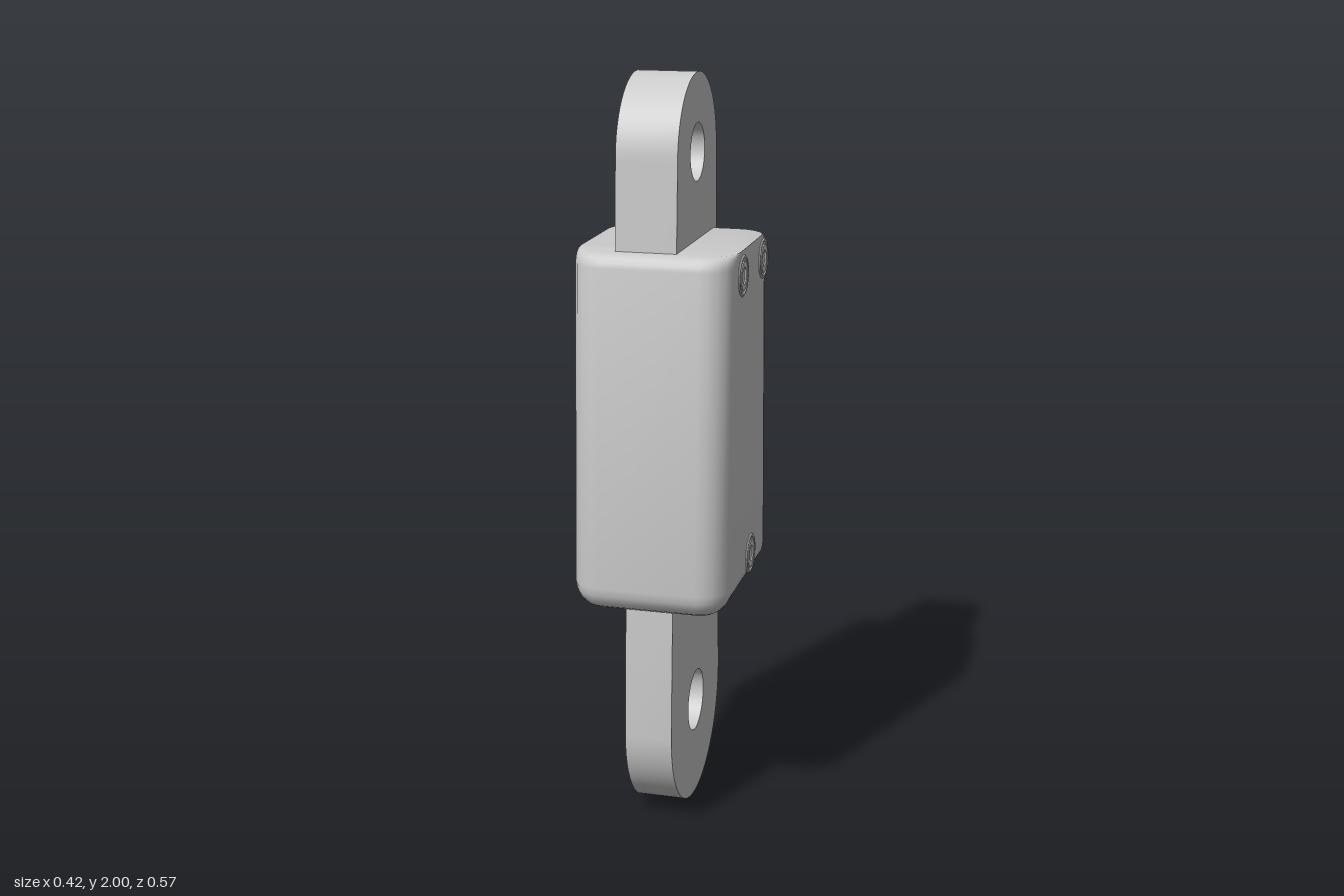
import * as THREE from 'three';
import { toCreasedNormals } from 'three/addons/utils/BufferGeometryUtils.js';

const material = new THREE.MeshStandardMaterial({ color: 0xcccccc });
const MID = -0.015; // z of the shared centre line of lugs and holes

function addMesh(parent, name, geometry, crease = 0.6) {
  const mesh = new THREE.Mesh(toCreasedNormals(geometry, crease), material);
  mesh.name = name;
  parent.add(mesh);
  return mesh;
}

// Extrude a side-view shape (u = -z from the centre line, v = y) from x0 to x1
function sideExtrude(shape, x0, x1, curveSegments = 14) {
  const geo = new THREE.ExtrudeGeometry(shape, { depth: x1 - x0, bevelEnabled: false, curveSegments });
  return geo.rotateY(Math.PI / 2).translate(x0, 0, MID);
}

function circlePath(r, y = 0) {
  const path = new THREE.Path();
  path.absarc(0, y, r, 0, Math.PI * 2, true);
  return path;
}

// Tapered lug with one rounded end (dir +1 up, -1 down) and a pin hole
function lugShape(baseY, baseHalf, eyeY, eyeR, holeY, holeR, dir) {
  const s = new THREE.Shape();
  s.moveTo(-dir * baseHalf, baseY);
  s.lineTo(dir * baseHalf, baseY);
  s.absarc(0, eyeY, eyeR, dir > 0 ? 0 : Math.PI, dir > 0 ? Math.PI : Math.PI * 2, false);
  s.closePath();
  s.holes.push(circlePath(holeR, holeY));
  return s;
}

// Housing: stacked rounded rectangles, tapering upward
function housingGeometry() {
  const levels = [], N = 5, halfW = 0.209;
  for (let k = 0; k <= N; k++) { // rounded bottom edge
    const a = (k / N) * Math.PI / 2, r = 0.07;
    levels.push({ y: 0.625 + r * (1 - Math.cos(a)), ix: r * (1 - Math.sin(a)), iz: r * (1 - Math.sin(a)) });
  }
  for (let k = N - 1; k >= 0; k--) { // top edge, rounded front and back only
    const a = (k / (N - 1)) * Math.PI / 2, r = 0.035;
    levels.push({ y: 1.57 - r * (1 - Math.cos(a)), ix: 0, iz: r * (1 - Math.sin(a)) });
  }
  const pos = [], idx = [], S = 5, n = 4 * (S + 1);
  for (const { y, ix, iz } of levels) {
    const w = halfW - ix;
    const front = 0.292 - 0.043 * (y - 0.64) - iz;
    const back = -0.267 + 0.0416 * (y - 0.64) + iz;
    const r = Math.max(0.08 - ix, 0.02);
    for (let q = 0; q < 4; q++) {
      const cx = (q === 0 || q === 3 ? 1 : -1) * (w - r);
      const cz = q < 2 ? front - r : back + r;
      for (let s = 0; s <= S; s++) {
        const t = (q + s / S) * Math.PI / 2;
        pos.push(cx + r * Math.cos(t), y, cz + r * Math.sin(t));
      }
    }
  }
  const last = levels.length - 1;
  for (let i = 0; i < last; i++) {
    for (let j = 0; j < n; j++) {
      const a = i * n + j, b = i * n + (j + 1) % n;
      idx.push(a, a + n, b, b, a + n, b + n);
    }
  }
  for (let j = 1; j < n - 1; j++) { // caps
    idx.push(0, j, j + 1);
    idx.push(last * n, last * n + j + 1, last * n + j);
  }
  const geo = new THREE.BufferGeometry();
  geo.setAttribute('position', new THREE.Float32BufferAttribute(pos, 3));
  geo.setIndex(idx);
  return geo;
}

// Socket-head screw in a collar, facing +x
function createScrew() {
  const g = new THREE.Group();
  g.name = 'screw';
  const collar = [[0.054, -0.05], [0.054, 0.001], [0.051, 0.004], [0.046, 0.004], [0.044, 0.001], [0, 0.001]]
    .map(([r, h]) => new THREE.Vector2(r, h));
  addMesh(g, 'screwCollar', new THREE.LatheGeometry(collar, 24).rotateZ(-Math.PI / 2));

  const head = new THREE.Shape();
  head.absarc(0, 0, 0.038, 0, Math.PI * 2, false);
  const hex = new THREE.Path();
  for (let i = 0; i < 6; i++) {
    const a = -i * Math.PI / 3 + Math.PI / 6;
    hex[i ? 'lineTo' : 'moveTo'](0.024 * Math.cos(a), 0.024 * Math.sin(a));
  }
  hex.closePath();
  head.holes.push(hex);
  addMesh(g, 'screwHead', sideExtrude(head, 0, 0.0045, 12).translate(0, 0, -MID));
  return g;
}

export function createModel() {
  const model = new THREE.Group();
  model.name = 'linkBlock';

  addMesh(model, 'housing', housingGeometry());
  addMesh(model, 'upperLug', sideExtrude(lugShape(0.64, 0.255, 1.794, 0.206, 1.797, 0.075, 1), -0.1, 0.06));
  addMesh(model, 'lowerLug', sideExtrude(lugShape(0.68, 0.2535, 0.27, 0.27, 0.275, 0.086, -1), -0.067, 0.06));

  // Screws on the model's left side
  for (const [y, z] of [[1.505, 0.105], [1.505, -0.135], [0.72, MID]]) {
    const screw = createScrew();
    screw.position.set(0.209, y, z);
    model.add(screw);
  }
  return model;
}
